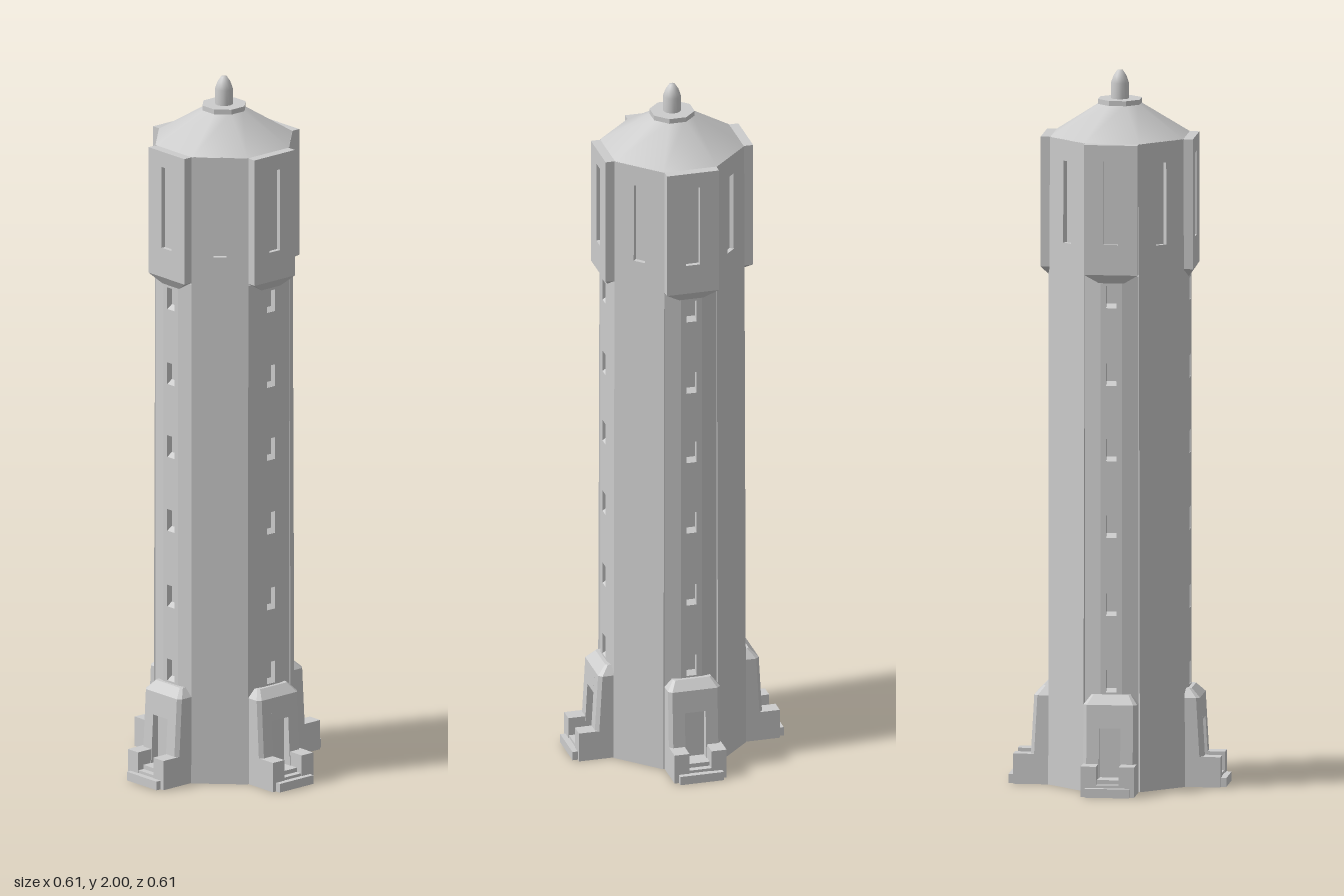
import * as THREE from 'three';
import { ConvexGeometry } from 'three/addons/geometries/ConvexGeometry.js';

const stone = new THREE.MeshStandardMaterial({ color: 0xcccccc });
stone.name = 'pale grey stone';

function add(parent, name, geometry) {
  const mesh = new THREE.Mesh(geometry, stone);
  mesh.name = name;
  parent.add(mesh);
  return mesh;
}

// Box given by its limits
function box(x0, x1, y0, y1, z0, z1) {
  return new THREE.BoxGeometry(x1 - x0, y1 - y0, z1 - z0)
    .translate((x0 + x1) / 2, (y0 + y1) / 2, (z0 + z1) / 2);
}

function hull(points) {
  return new ConvexGeometry(points.map((p) => new THREE.Vector3(...p)));
}

// Solid between two outlines of [x, z] points at heights y0 and y1
function loft(lower, y0, upper, y1) {
  return hull([...lower.map(([x, z]) => [x, y0, z]), ...upper.map(([x, z]) => [x, y1, z])]);
}

const rect = (w, z0, z1) => [[-w, z0], [w, z0], [w, z1], [-w, z1]];

// Upright wall slab with window openings given as [halfWidth, bottom, top]
function wall(w, y0, y1, z0, z1, openings) {
  const rectPath = (path, hw, b, t) => {
    path.moveTo(-hw, b);
    path.lineTo(hw, b);
    path.lineTo(hw, t);
    path.lineTo(-hw, t);
    path.closePath();
    return path;
  };
  const shape = rectPath(new THREE.Shape(), w, y0, y1);
  for (const [hw, b, t] of openings) shape.holes.push(rectPath(new THREE.Path(), hw, b, t));
  return new THREE.ExtrudeGeometry(shape, { depth: z1 - z0, bevelEnabled: false }).translate(0, 0, z0);
}

const EAVES = 1.82;
const windowBottoms = [0.28, 0.495, 0.715, 0.93, 1.142, 1.36];

// Pilaster with its column of small windows
function pilaster(side) {
  add(side, 'pilasterFace', wall(0.03, 0, 1.45, 0.175, 0.197,
    windowBottoms.map((y) => [0.015, y, y + 0.063])));
  for (const y of windowBottoms) {
    add(side, 'windowSill', hull([-0.015, 0.015].flatMap((x) =>
      [[x, y, 0.178], [x, y, 0.196], [x, y + 0.012, 0.178]])));
  }
  for (const s of [-1, 1]) {
    const outline = [[0.03, 0.165], [0.03, 0.197], [0.075, 0.187], [0.075, 0.165]].map(([x, z]) => [s * x, z]);
    add(side, 'pilasterBevel', loft(outline, 0, outline, 1.45));
  }
}

// Projecting upper bay with a tall window and a tapered underside
function bay(side) {
  add(side, 'bayFront', wall(0.075, 1.455, EAVES, 0.2, 0.213, [[0.02, 1.54, 1.775]]));
  add(side, 'bayBody', box(-0.075, 0.075, 1.455, EAVES, 0.165, 0.2));
  add(side, 'bayCorbel', loft(rect(0.035, 0.17, 0.197), 1.43, rect(0.075, 0.17, 0.213), 1.455));
}

// Entrance block with door niche, posts and steps
function entrance(side) {
  const jamb = (s, zf) => [[0.03, 0.165], [0.03, zf], [0.065, zf], [0.075, zf - 0.01], [0.075, 0.165]]
    .map(([x, z]) => [s * x, z]);
  const top = (w, zf, c) => [[-w, 0.165], [-w, zf - c], [c - w, zf], [w - c, zf], [w, zf - c], [w, 0.165]];
  for (const s of [-1, 1]) {
    add(side, 'doorJamb', loft(jamb(s, 0.246), 0, jamb(s, 0.232), 0.25));
    add(side, 'entrancePost', box(s > 0 ? 0.032 : -0.075, s > 0 ? 0.075 : -0.032, 0, 0.085, 0.2, 0.29));
  }
  add(side, 'doorLintel', loft(rect(0.03, 0.165, 0.2357), 0.185, rect(0.03, 0.165, 0.232), 0.25));
  add(side, 'door', box(-0.03, 0.03, 0, 0.19, 0.165, 0.218));
  add(side, 'entranceCap', loft(top(0.075, 0.232, 0.01), 0.25, top(0.055, 0.207, 0.006), 0.275));
  add(side, 'upperStep', box(-0.032, 0.032, 0, 0.045, 0.2, 0.27));
  add(side, 'middleStep', box(-0.032, 0.032, 0, 0.033, 0.2, 0.288));
  add(side, 'lowerStep', box(-0.0625, 0.0625, 0, 0.025, 0.2, 0.305));
}

export function createModel() {
  const tower = new THREE.Group();
  tower.name = 'tower';

  // Inner shaft that closes the backs of the window recesses
  const core = [];
  for (const [a, b] of [[0.065, 0.18], [0.18, 0.065]]) {
    for (const sx of [-1, 1]) for (const sz of [-1, 1]) core.push([sx * a, sz * b]);
  }
  add(tower, 'shaftCore', loft(core, 0, core, EAVES));

  for (let i = 0; i < 4; i++) {
    const side = new THREE.Group();
    side.name = 'towerSide';
    side.rotation.y = (i * Math.PI) / 2;
    pilaster(side);
    bay(side);
    entrance(side);
    tower.add(side);

    // Diagonal wall, leaning in slightly towards the top
    const diagonal = wall(0.0792, 0, EAVES, 0.172, 0.1853, [[0.018, 1.53, 1.76]])
      .translate(0, -EAVES, 0).rotateX(-0.0033).translate(0, EAVES, 0);
    add(tower, 'diagonalWall', diagonal).rotation.y = ((i + 0.5) * Math.PI) / 2;
  }

  // Eight-sided roof, cap and finial
  const corner = 1 / Math.cos(Math.PI / 8);
  add(tower, 'roof', new THREE.CylinderGeometry(0.052 * corner, 0.186 * corner, 0.09, 8, 1, false, Math.PI / 8)
    .translate(0, EAVES + 0.045, 0));
  const cap = new THREE.CylinderGeometry(0.0585 * corner, 0.0585 * corner, 0.014, 8, 1, false, Math.PI / 8).toNonIndexed();
  cap.computeVertexNormals();
  add(tower, 'roofCap', cap.translate(0, 1.914, 0));
  const profile = [[0.025, 1.915], [0.025, 1.965], [0.018, 1.985], [0.008, 2], [0, 2]]
    .map(([r, y]) => new THREE.Vector2(r, y));
  add(tower, 'finial', new THREE.LatheGeometry(profile, 16));

  return tower;
}
